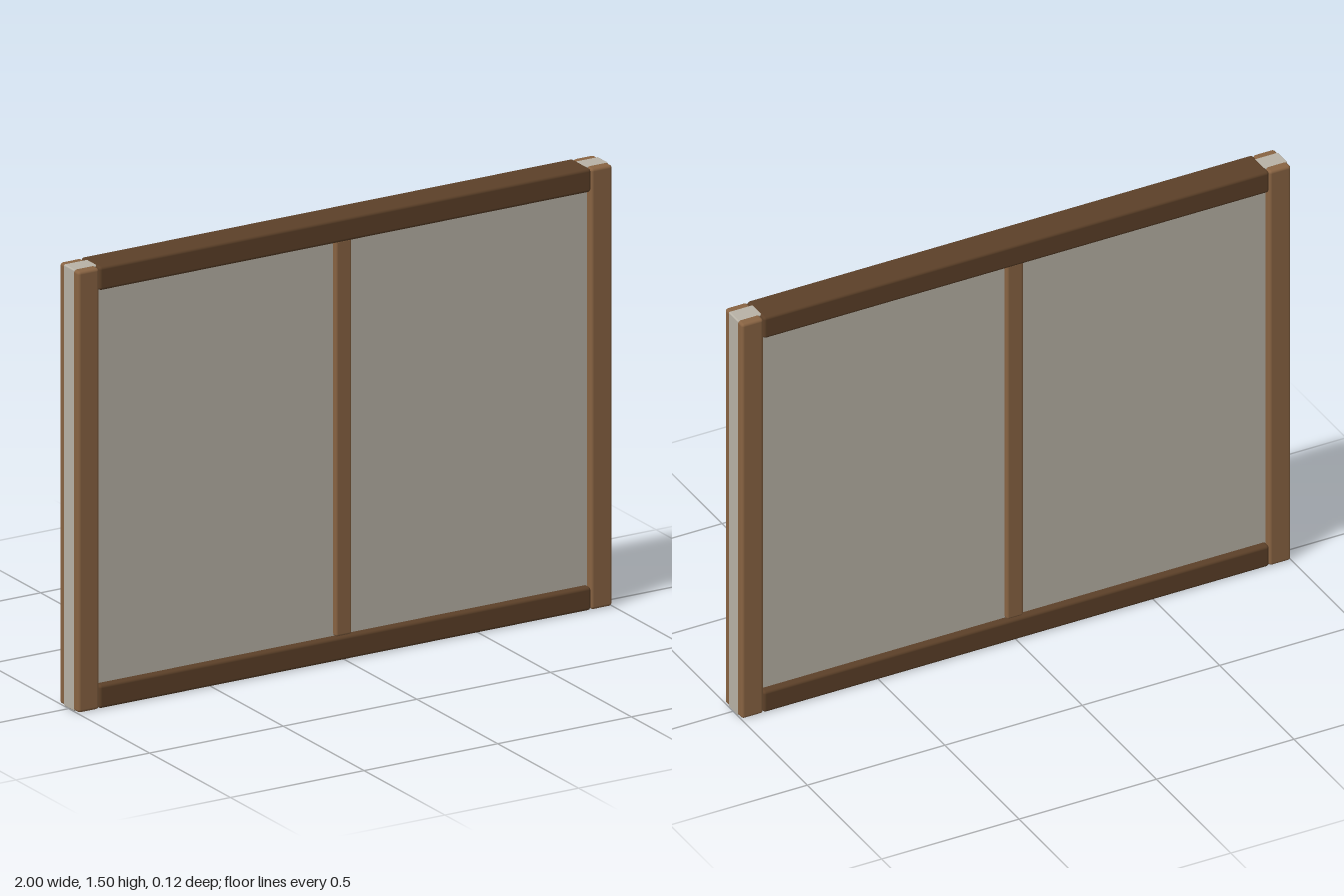
import * as THREE from 'three';
import { RoundedBoxGeometry } from 'three/addons/geometries/RoundedBoxGeometry.js';

const panelMat = new THREE.MeshStandardMaterial({ color: 0xb8b2a6 });
const postMat = new THREE.MeshStandardMaterial({ color: 0x886342 });
const railMat = new THREE.MeshStandardMaterial({ color: 0x5c4028 });

export function createModel() {
  const group = new THREE.Group();

  // Softly rounded beam given by its extents in x and y, and its depth centred on z = 0
  function beam(name, x0, x1, y0, y1, depth, radius, material) {
    const mesh = new THREE.Mesh(new RoundedBoxGeometry(x1 - x0, y1 - y0, depth, 3, radius), material);
    mesh.name = name;
    mesh.position.set((x0 + x1) / 2, (y0 + y1) / 2, 0);
    group.add(mesh);
  }

  // Wall panel, running through the frame to its outer edges
  beam('panel', -1, 1, 0, 1.499, 0.065, 0.005, panelMat);

  // Corner posts, a hair inside the panel edges so surfaces never coincide
  beam('rightPost', -0.999, -0.92, 0.001, 1.498, 0.118, 0.01, postMat);
  beam('leftPost', 0.92, 0.999, 0.001, 1.498, 0.118, 0.01, postMat);

  // Bottom and top rails between the posts
  beam('bottomRail', -0.92, 0.92, 0.001, 0.08, 0.118, 0.01, railMat);
  beam('topRail', -0.92, 0.92, 1.42, 1.5, 0.118, 0.01, railMat);

  // Slim middle stud, visible on both faces
  beam('middleStud', -0.03, 0.03, 0.08, 1.425, 0.1, 0.008, postMat);

  return group;
}
